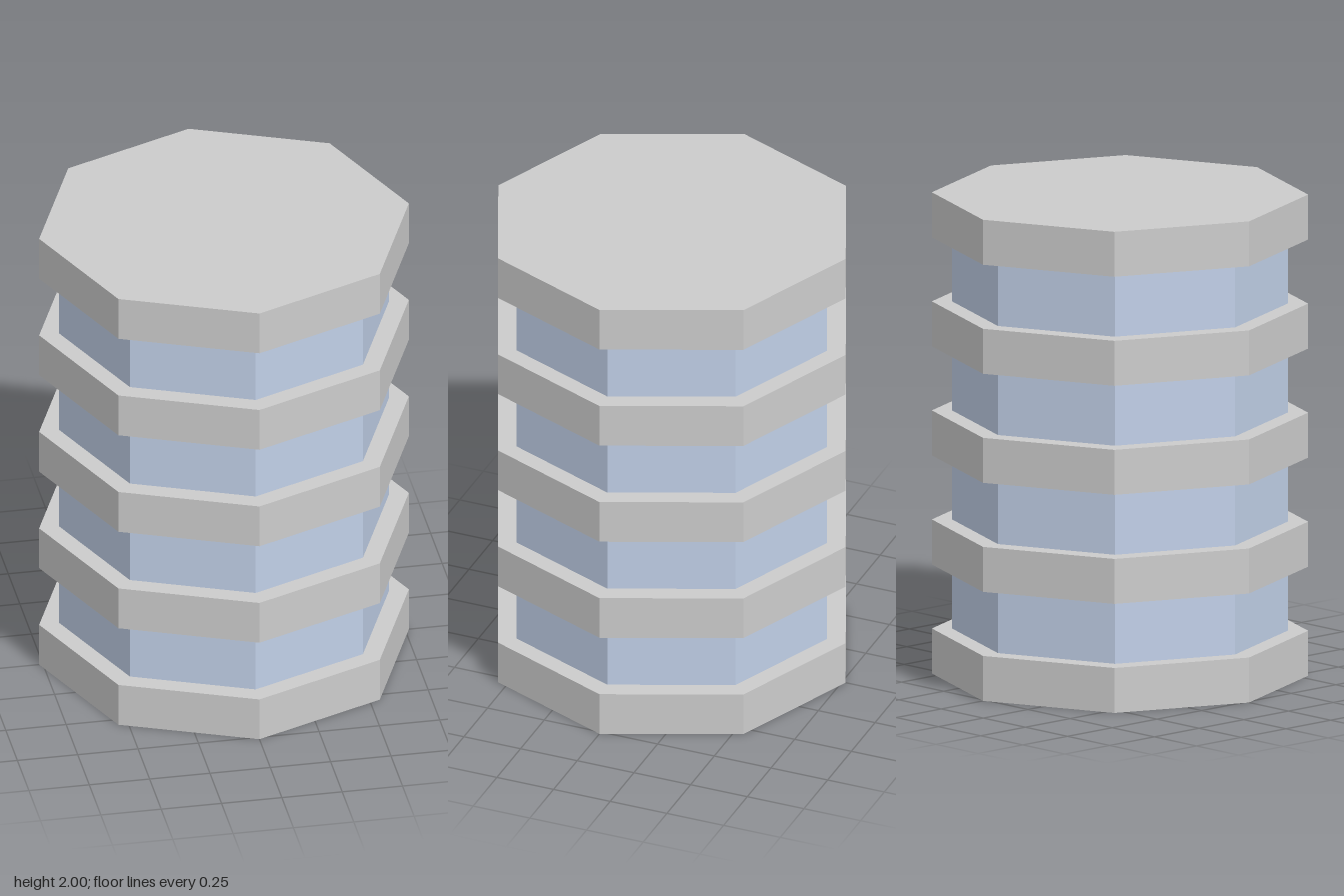
import * as THREE from 'three';

const SIDES = 8;
const FLOORS = 4;
const SLAB_HEIGHT = 0.187;
const SLAB_RADIUS = 0.766;
const GLASS_RADIUS = 0.683;

export function createModel() {
  const model = new THREE.Group();
  model.name = 'octagonalTower';

  const slabMaterial = new THREE.MeshStandardMaterial({ color: 0xcccccc, flatShading: true });
  const glassMaterial = new THREE.MeshStandardMaterial({ color: 0xc0cfe7, flatShading: true });

  const pitch = (2 - SLAB_HEIGHT) / FLOORS;
  const glassHeight = pitch - SLAB_HEIGHT;
  const slabGeometry = new THREE.CylinderGeometry(SLAB_RADIUS, SLAB_RADIUS, SLAB_HEIGHT, SIDES);
  // The window bands are open, as the slabs close them above and below
  const glassGeometry = new THREE.CylinderGeometry(GLASS_RADIUS, GLASS_RADIUS, glassHeight, SIDES, 1, true);

  function addPart(name, geometry, material, bottom, height) {
    const mesh = new THREE.Mesh(geometry, material);
    mesh.name = name;
    mesh.position.y = bottom + height / 2;
    model.add(mesh);
  }

  // Floor slabs alternating with recessed window bands
  for (let i = 0; i <= FLOORS; i++) {
    const bottom = i * pitch;
    addPart(`floorSlab${i + 1}`, slabGeometry, slabMaterial, bottom, SLAB_HEIGHT);
    if (i < FLOORS) {
      addPart(`windowBand${i + 1}`, glassGeometry, glassMaterial, bottom + SLAB_HEIGHT, glassHeight);
    }
  }

  return model;
}
